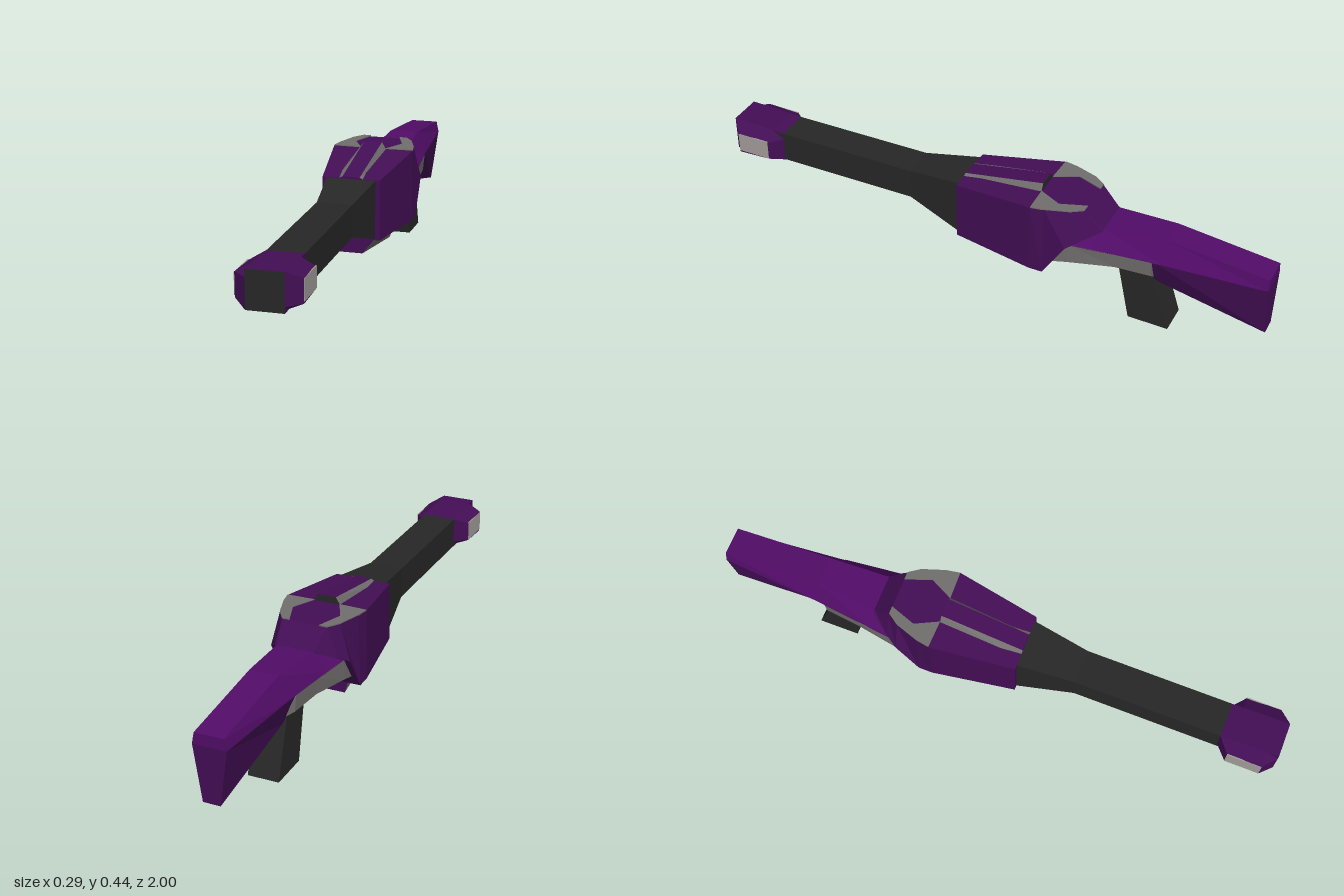
import * as THREE from 'three';

const mat = (name, color) => {
  const m = new THREE.MeshStandardMaterial({ color });
  m.name = name;
  return m;
};

// Lofts mirrored cross-sections, ordered from front to back.
// Each section is [z, [x, y], ...] listing the +x half from bottom to top.
// colours: { all, front, back, top, bottom, side }
function loft(name, sections, colours) {
  const rings = sections.map(([z, ...half]) => [
    ...half.map(([x, y]) => [x, y, z]),
    ...half.slice().reverse().map(([x, y]) => [-x, y, z]),
  ]);
  const n = rings[0].length, k = n / 2;
  const buckets = new Map();
  const add = (kind, ...pts) => {
    const m = colours[kind] || colours.all;
    if (!buckets.has(m)) buckets.set(m, []);
    pts.forEach((p) => buckets.get(m).push(...p));
  };
  for (let i = 0; i < rings.length - 1; i++) {
    const A = rings[i], B = rings[i + 1];
    for (let j = 0; j < n; j++) {
      const q = (j + 1) % n;
      const kind = j === k - 1 ? 'top' : j === n - 1 ? 'bottom' : 'side';
      add(kind, A[j], B[j], A[q], A[q], B[j], B[q]);
    }
  }
  const F = rings[0], R = rings[rings.length - 1];
  for (let j = 1; j < n - 1; j++) {
    add('front', F[0], F[j], F[j + 1]);
    add('back', R[0], R[j + 1], R[j]);
  }
  const group = new THREE.Group();
  group.name = name;
  for (const [m, pos] of buckets) {
    const g = new THREE.BufferGeometry();
    g.setAttribute('position', new THREE.Float32BufferAttribute(pos, 3));
    g.computeVertexNormals();
    const mesh = new THREE.Mesh(g, m);
    mesh.name = `${name} ${m.name}`;
    group.add(mesh);
  }
  return group;
}

export function createModel() {
  const purple = mat('dark purple', 0x430e55);
  const bright = mat('bright purple', 0x520c68);
  const black = mat('charcoal', 0x262726);
  const grey = mat('grey', 0x716f6d);
  const pale = mat('pale grey', 0xa39e9a);
  const root = new THREE.Group();
  root.name = 'rifle';

  // Barrel flaring into the receiver
  root.add(loft('barrel', [
    [0.85, [0.06, 0.24], [0.06, 0.35]],
    [0.29, [0.06, 0.24], [0.06, 0.35]],
    [0.08, [0.086, 0.17], [0.086, 0.38]],
  ], { all: black }));

  // Muzzle block with bevelled cheeks
  const muzzle = (z, w, b, t) => [z, [0.06, b], [w, b + 0.02], [w, t - 0.025], [0.06, t]];
  root.add(loft('muzzle', [
    muzzle(1, 0.06, 0.232, 0.358),
    muzzle(0.96, 0.105, 0.233, 0.357),
    muzzle(0.84, 0.105, 0.238, 0.352),
    muzzle(0.8, 0.06, 0.239, 0.35),
  ], { all: purple, front: black }));
  for (const s of [-1, 1]) {
    const plate = new THREE.Mesh(new THREE.BoxGeometry(0.004, 0.07, 0.12), pale);
    plate.name = 'muzzlePlate';
    plate.position.set(s * 0.105, 0.295, 0.9);
    root.add(plate);
  }

  // Receiver: z, bottom y, top y, bottom half width, top half width
  root.add(loft('receiver', [
    [0.09, 0.17, 0.38, 0.1, 0.1],
    [-0.2, 0.16, 0.413, 0.143, 0.143],
    [-0.25, 0.16, 0.413, 0.143, 0.135],
    [-0.33, 0.285, 0.412, 0.143, 0.108],
    [-0.37, 0.31, 0.411, 0.12, 0.08],
    [-0.435, 0.345, 0.352, 0.075, 0.065],
  ].map(([z, b, t, wb, wt]) => [z, [wb, b], [wt, t]]), { all: purple }));

  // Ridge on top of the receiver
  root.add(loft('topRidge', [
    [0.09, [0.056, 0.372], [0.03, 0.386]],
    [-0.2, [0.06, 0.39], [0.032, 0.437]],
  ], { all: purple, side: grey, back: black }));

  // Thin grey panels behind the ridge
  for (const s of [-1, 1]) {
    const shape = new THREE.Shape([
      [0.045, 0.2], [0.143, 0.203], [0.135, 0.25], [0.108, 0.33],
      [0.08, 0.37], [0.053, 0.37], [0.085, 0.28],
    ].map(([x, y]) => new THREE.Vector2(s * x, y)));
    const g = new THREE.ExtrudeGeometry(shape, { depth: 0.004, bevelEnabled: false });
    g.rotateX(-Math.PI / 2);
    const panel = new THREE.Mesh(g, grey);
    panel.name = 'topPanel';
    panel.position.y = 0.4115;
    root.add(panel);
  }

  // Underside housing
  root.add(loft('lowerHousing', [
    [0.09, [0.083, 0.172], [0.083, 0.175]],
    [0.08, [0.04, 0.119], [0.083, 0.175]],
    [-0.2, [0.063, 0.091], [0.087, 0.175]],
    [-0.245, [0.08, 0.165], [0.087, 0.175]],
  ].map((s, i) => (i === 0 ? [0.09, [0.04, 0.119], [0.083, 0.175]] : s)).filter((s, i) => i !== 1 && i !== 3),
  { all: purple, side: grey, bottom: grey }));

  // Grip frame between receiver and stock
  root.add(loft('gripFrame', [
    [-0.23, [0.06, 0.16], [0.125, 0.19], [0.125, 0.29]],
    [-0.33, [0.055, 0.172], [0.122, 0.215], [0.122, 0.29]],
    [-0.49, [0.05, 0.2], [0.1, 0.235], [0.105, 0.29]],
    [-0.615, [0.05, 0.203], [0.085, 0.23], [0.091, 0.29]],
  ], { all: purple, side: grey, back: grey }));

  // Upper stock with sloping shoulders
  root.add(loft('upperStock', [
    [-0.33, [0.124, 0.288], [0.07, 0.345]],
    [-0.43, [0.112, 0.288], [0.065, 0.351]],
    [-0.65, [0.086, 0.288], [0.05, 0.366]],
    [-1, [0.058, 0.285], [0.05, 0.325]],
  ], { all: bright }));

  // Lower stock tapering to its underside
  root.add(loft('lowerStock', [
    [-0.6, [0.05, 0.203], [0.09, 0.289]],
    [-0.63, [0.048, 0.185], [0.088, 0.289]],
    [-1, [0.03, 0.092], [0.058, 0.286]],
  ], { all: purple, back: purple }));

  // Slanted hand grip, sheared backward toward the foot
  const gripGeo = new THREE.BoxGeometry(0.11, 0.22, 0.13);
  const p = gripGeo.attributes.position;
  for (let i = 0; i < p.count; i++) {
    const low = p.getY(i) < 0, front = p.getZ(i) > 0;
    p.setZ(i, low ? (front ? -0.533 : -0.676) : (front ? -0.487 : -0.606));
    p.setY(i, low ? (front ? 0.003 : 0) : 0.22);
  }
  gripGeo.computeVertexNormals();
  const grip = new THREE.Mesh(gripGeo, black);
  grip.name = 'grip';
  root.add(grip);

  return root;
}
